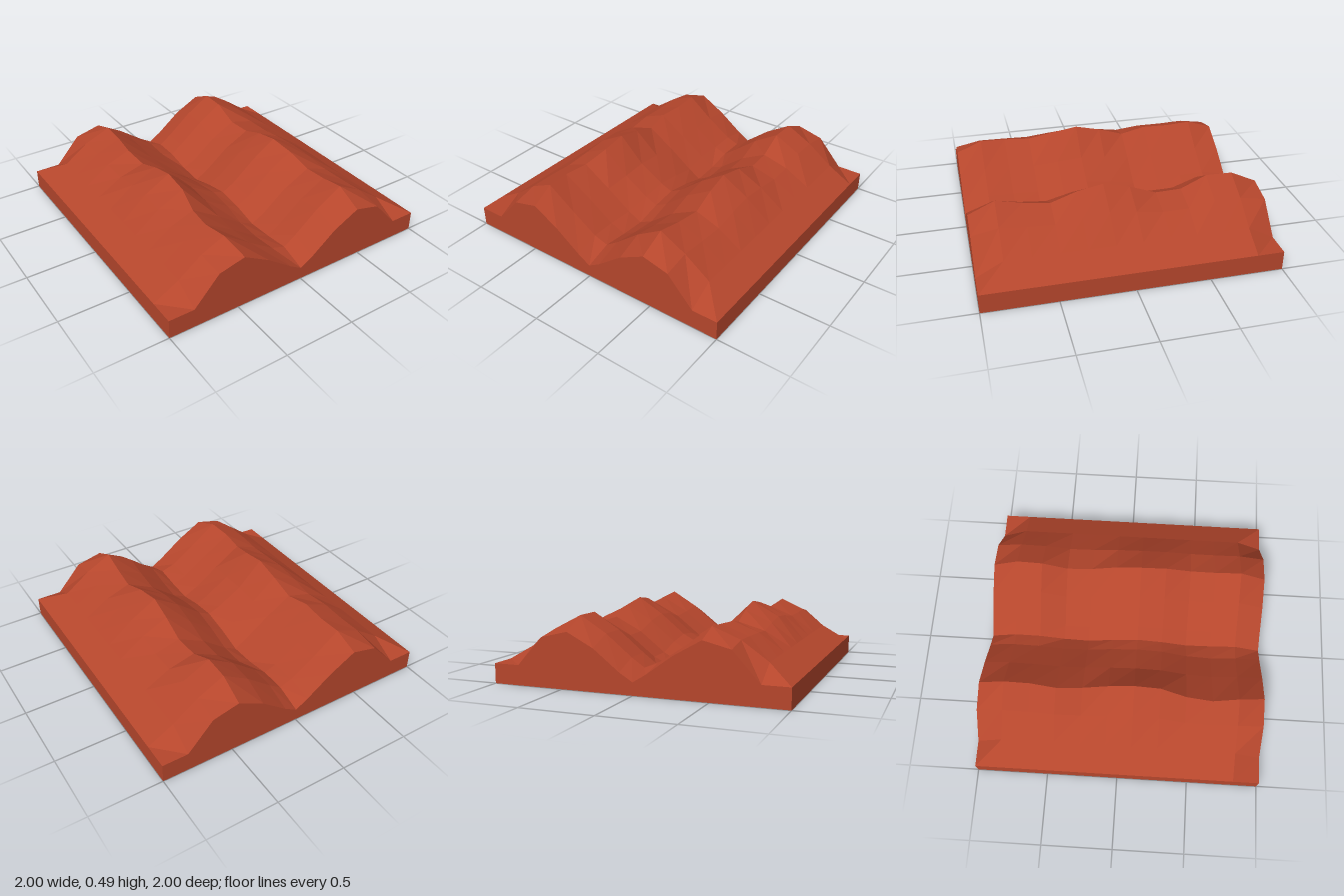
import * as THREE from 'three';

// Cross-section columns: position, end height, and how strongly each rises with the ridge
const COLS = [-1, -0.82, -0.64, -0.455, -0.27, -0.09, 0, 0.09, 0.27, 0.455, 0.64, 0.82, 1];
const EDGE = [0.135, 0.135, 0.33, 0.375, 0.27, 0.14, 0.085, 0.14, 0.28, 0.375, 0.33, 0.135, 0.135];
const RISE = [0, 0, 0.5, 1, 0.4, 0.6, 0.8, 0.75, 0.8, 1, 0.4, 0, 0];

// Ridge rise and sideways drift for each row, from back to front
const ROWS = 12;
const LEFT_RISE = [0, 0.06, 0.05, 0.045, 0.015, 0.075, 0.118, 0.09, 0.04, 0.045, 0.06, 0];
const RIGHT_RISE = [0, 0.085, 0.085, 0.005, 0.005, 0.07, 0.11, 0.085, 0.03, 0.05, 0.085, 0];
const LEFT_DRIFT = [0, 0, 0, -0.02, 0, 0.005, 0.005, 0.005, -0.03, -0.05, -0.03, 0];
const RIGHT_DRIFT = [0, -0.003, -0.008, -0.002, 0.007, 0, -0.01, 0.005, 0.02, 0.01, 0, 0];

function surfacePoint(c, r) {
  const end = r === 0 || r === ROWS - 1;
  const x0 = COLS[c];
  const rise = x0 === 0 ? (LEFT_RISE[r] + RIGHT_RISE[r]) / 2 : (x0 < 0 ? LEFT_RISE : RIGHT_RISE)[r];
  const drift = (x0 < 0 ? LEFT_DRIFT : RIGHT_DRIFT)[r];
  const shoulder = !end && Math.abs(x0) === 0.82 ? 0.1 : 0;
  const moves = x0 === 0 || Math.abs(x0) > 0.8 ? 0 : Math.abs(Math.abs(x0) - 0.455) < 0.01 ? 1 : 0.4;
  return [x0 + drift * moves, EDGE[c] + RISE[c] * rise + shoulder, -1 + (2 * r) / (ROWS - 1)];
}

function quadMesh(name, quads, material) {
  const pos = [];
  for (const [a, b, c, d] of quads) pos.push(...a, ...b, ...c, ...a, ...c, ...d);
  const geo = new THREE.BufferGeometry();
  geo.setAttribute('position', new THREE.Float32BufferAttribute(pos, 3));
  geo.computeVertexNormals();
  const mesh = new THREE.Mesh(geo, material);
  mesh.name = name;
  return mesh;
}

export function createModel() {
  const group = new THREE.Group();
  group.name = 'terrainTile';
  const clay = new THREE.MeshStandardMaterial({ color: 0xb5462c, side: THREE.DoubleSide, flatShading: true });
  clay.name = 'redClay';
  const floor = (p) => [p[0], 0, p[2]];
  const last = COLS.length - 1;

  // Twin-ridged ground
  const ground = [];
  for (let r = 0; r < ROWS - 1; r++)
    for (let c = 0; c < last; c++)
      ground.push([surfacePoint(c, r), surfacePoint(c, r + 1), surfacePoint(c + 1, r + 1), surfacePoint(c + 1, r)]);
  group.add(quadMesh('ridgedGround', ground, clay));

  // Skirt walls, open underneath
  const wall = (a, b) => [floor(a), floor(b), b, a];
  const front = [], back = [], left = [], right = [];
  for (let c = 0; c < last; c++) {
    front.push(wall(surfacePoint(c, ROWS - 1), surfacePoint(c + 1, ROWS - 1)));
    back.push(wall(surfacePoint(c + 1, 0), surfacePoint(c, 0)));
  }
  for (let r = 0; r < ROWS - 1; r++) {
    left.push(wall(surfacePoint(last, r + 1), surfacePoint(last, r)));
    right.push(wall(surfacePoint(0, r), surfacePoint(0, r + 1)));
  }
  group.add(quadMesh('frontWall', front, clay), quadMesh('backWall', back, clay));
  group.add(quadMesh('leftWall', left, clay), quadMesh('rightWall', right, clay));
  return group;
}
